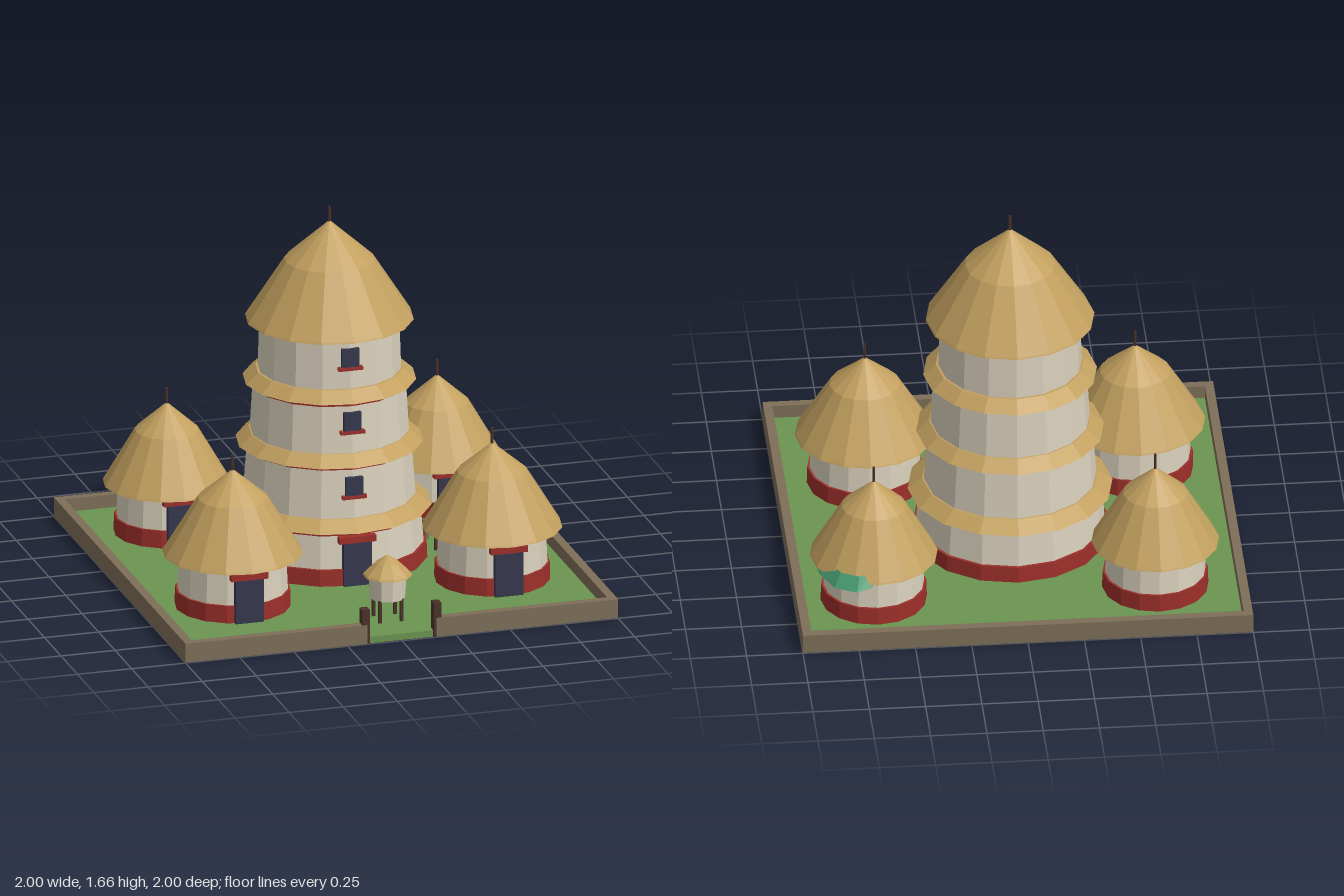
import * as THREE from 'three';

const mat = (name, color, extra = {}) => {
  const m = new THREE.MeshStandardMaterial({ color, flatShading: true, ...extra });
  m.name = name;
  return m;
};

export function createModel() {
  const M = {
    grass: mat('grass', 0x6b9550),
    stone: mat('mud brick', 0x7d6e58),
    plaster: mat('plaster', 0xd9d0bc),
    red: mat('red trim', 0x9c2f2a),
    straw: mat('straw', 0xc2a05f),
    dark: mat('dark opening', 0x35374d),
    wood: mat('dark wood', 0x4a3228),
    green: mat('green awning', 0x43936c, { side: THREE.DoubleSide }),
  };
  const model = new THREE.Group();
  model.name = 'walledVillage';

  const add = (parent, name, geo, material, x = 0, y = 0, z = 0) => {
    const mesh = new THREE.Mesh(geo, material);
    mesh.name = name;
    mesh.position.set(x, y, z);
    parent.add(mesh);
    return mesh;
  };
  // Box given by its bottom and top heights
  const box = (p, name, m, w, d, y0, y1, x, z) =>
    add(p, name, new THREE.BoxGeometry(w, y1 - y0, d), m, x, (y0 + y1) / 2, z);
  // Tapered drum given by its bottom and top heights
  const drum = (p, name, m, rBottom, rTop, y0, y1, sides = 16) =>
    add(p, name, new THREE.CylinderGeometry(rTop, rBottom, y1 - y0, sides), m, 0, (y0 + y1) / 2, 0);
  const group = (name, x, z) => {
    const g = new THREE.Group();
    g.name = name;
    g.position.set(x, 0, z);
    model.add(g);
    return g;
  };
  // Thatched roof: closed underside, steep skirt, shallower cap
  const roof = (p, r, eave, kinkR, kinkY, top, sides = 16) => {
    const pts = [[0, eave], [r, eave], [r - 0.004, eave + 0.008], [kinkR, kinkY], [0, top]];
    add(p, 'thatchedRoof', new THREE.LatheGeometry(pts.map(a => new THREE.Vector2(...a)), sides), M.straw);
  };
  const pole = (p, y0, y1) => drum(p, 'roofPole', M.wood, 0.007, 0.007, y0, y1, 6);
  const door = (p, z) => {
    box(p, 'door', M.dark, 0.13, 0.03, 0.03, 0.23, 0, z);
    box(p, 'doorLintel', M.red, 0.17, 0.03, 0.23, 0.26, 0, z);
  };

  // Ground and perimeter wall with a front gap
  box(model, 'ground', M.grass, 1.97, 1.97, 0, 0.03, 0, 0);
  box(model, 'gateThreshold', M.grass, 0.33, 0.02, 0, 0.03, 0, 0.98);
  const low = 0.002, high = 0.09;
  box(model, 'backWall', M.stone, 2, 0.04, low, high, 0, -0.98);
  for (const s of [-1, 1]) {
    box(model, 'sideWall', M.stone, 0.04, 1.92, low, high, s * 0.98, 0);
    box(model, 'frontWall', M.stone, 0.84, 0.04, low, high, s * 0.58, 0.98);
    box(model, 'gatePost', M.wood, 0.035, 0.045, 0.003, 0.16, s * 0.165, 0.977);
  }

  // Round huts
  const hut = (x, z, wallR, roofR, eave, top) => {
    const h = group('hut', x, z);
    drum(h, 'hutWall', M.plaster, wallR, wallR - 0.012, 0.03, eave);
    drum(h, 'hutBase', M.red, wallR + 0.008, wallR + 0.006, 0.03, 0.11);
    drum(h, 'hutTrim', M.red, wallR - 0.005, wallR - 0.005, eave - 0.015, eave + 0.002);
    roof(h, roofR, eave, roofR * 0.5, eave + (top - eave) * 0.66, top);
    pole(h, top - 0.03, top + 0.067);
    door(h, wallR - 0.002);
  };
  for (const s of [-1, 1]) hut(s * 0.6, 0.4, 0.25, 0.312, 0.275, 0.665);
  hut(-0.6, -0.6, 0.228, 0.284, 0.262, 0.635);
  hut(0.65, -0.6, 0.228, 0.284, 0.262, 0.635);

  // Central tower: bottom radius, top radius, start, end, skirt radius, skirt top radius
  const tower = group('tower', 0, -0.1);
  const tiers = [
    [0.425, 0.405, 0.03, 0.28, 0.455, 0.39],
    [0.385, 0.365, 0.3, 0.575, 0.417, 0.36],
    [0.355, 0.34, 0.6, 0.865, 0.386, 0.33],
    [0.32, 0.311, 0.88, 1.15],
  ];
  tiers.forEach(([r0, r1, y0, y1, skirt, skirtTop], i) => {
    drum(tower, 'towerWall', M.plaster, r0, r1, y0, y1);
    drum(tower, 'towerTrim', M.red, r1 + 0.007, r1 + 0.007, y1 - 0.022, y1 + 0.002);
    if (skirt) drum(tower, 'thatchedSkirt', M.straw, skirt, skirtTop, y1, y1 + 0.05);
    if (i) {
      const sill = [0, 0.42, 0.715, 1.003][i];
      const face = r0 + (r1 - r0) * 0.5;
      box(tower, 'window', M.dark, 0.08, 0.02, sill + 0.015, sill + 0.1, 0, face);
      box(tower, 'windowSill', M.red, 0.112, 0.03, sill, sill + 0.015, 0, face);
    }
  });
  drum(tower, 'towerBase', M.red, 0.435, 0.432, 0.03, 0.105);
  door(tower, 0.42);
  roof(tower, 0.375, 1.145, 0.2, 1.42, 1.6);
  pole(tower, 1.57, 1.665);

  // Raised granary
  const granary = group('granary', 0, 0.78);
  drum(granary, 'granaryBody', M.plaster, 0.078, 0.085, 0.13, 0.245, 10);
  roof(granary, 0.11, 0.235, 0.055, 0.292, 0.33, 10);
  for (const x of [-0.05, 0.05])
    for (const z of [-0.05, 0.05]) box(granary, 'granaryLeg', M.wood, 0.014, 0.014, 0.03, 0.135, x, z);

  // Open ring of stakes with two benches
  for (let deg = -120; deg <= 120; deg += 30) {
    const a = THREE.MathUtils.degToRad(deg);
    box(model, 'stake', M.wood, 0.014, 0.014, 0.03, 0.13, 0.55 + 0.17 * Math.cos(a), -0.155 + 0.17 * Math.sin(a));
  }
  for (const [x, z] of [[0.5, -0.175], [0.605, -0.115]]) {
    box(model, 'benchSeat', M.stone, 0.09, 0.047, 0.095, 0.115, x, z);
    for (const s of [-1, 1]) box(model, 'benchLeg', M.stone, 0.015, 0.035, 0.03, 0.095, x + s * 0.03, z);
  }

  // Curved awning under the eave of the back right hut: angle, outer radius, top height
  const sections = [[8, 0.27, 0.256], [30, 0.292, 0.3], [53.5, 0.333, 0.3], [72, 0.333, 0.3], [84, 0.285, 0.3]];
  const pos = [], idx = [];
  sections.forEach(([deg, r, top], i) => {
    const a = THREE.MathUtils.degToRad(deg);
    for (const [q, y] of [[r - 0.055, top], [r, 0.25], [r - 0.065, 0.25]])
      pos.push(q * Math.cos(a), y, -q * Math.sin(a));
    for (let k = 0; i && k < 3; k++) {
      const p = (i - 1) * 3, n = (k + 1) % 3;
      idx.push(p + k, p + n, p + 3 + k, p + n, p + 3 + n, p + 3 + k);
    }
  });
  idx.push(0, 2, 1, 12, 13, 14);
  const awning = new THREE.BufferGeometry();
  awning.setAttribute('position', new THREE.Float32BufferAttribute(pos, 3));
  awning.setIndex(idx);
  awning.computeVertexNormals();
  add(model, 'curvedAwning', awning, M.green, 0.65, 0, -0.6);

  return model;
}
